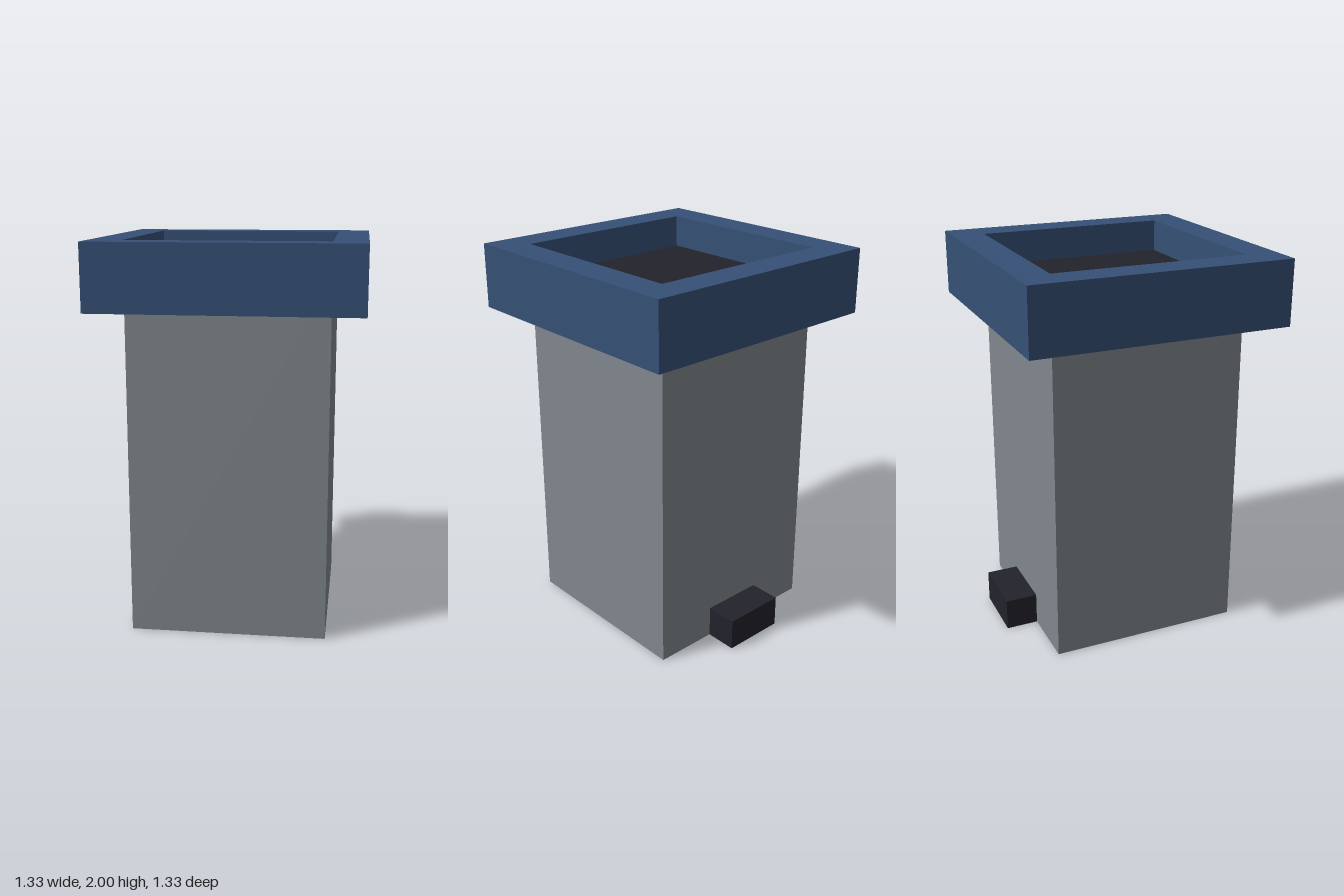
import * as THREE from 'three';

const HALF = 0.5;        // half width of the column
const RIM_HALF = 0.667;  // half width of the collar
const RIM_BASE = 1.667;
const FLOOR_Y = 1.833;   // level of the dark floor inside the collar

function material(name, color) {
  const m = new THREE.MeshStandardMaterial({ color });
  m.name = name;
  return m;
}

function squarePath(path, h) {
  path.moveTo(-h, -h);
  path.lineTo(h, -h);
  path.lineTo(h, h);
  path.lineTo(-h, h);
  path.closePath();
  return path;
}

export function createModel() {
  const grey = material('grey', 0x80878d);
  const blue = material('blue', 0x365075);
  const dark = material('dark', 0x22222b);

  const model = new THREE.Group();
  model.name = 'squareBin';

  function add(name, geometry, mat, x, y, z) {
    const mesh = new THREE.Mesh(geometry, mat);
    mesh.name = name;
    mesh.position.set(x, y, z);
    model.add(mesh);
    return mesh;
  }

  // Square column; its top face is the dark floor seen inside the collar
  add('column', new THREE.BoxGeometry(2 * HALF, FLOOR_Y, 2 * HALF),
    [grey, grey, dark, grey, grey, grey], 0, FLOOR_Y / 2, 0);

  // Wide collar with a square opening
  const outline = squarePath(new THREE.Shape(), RIM_HALF);
  outline.holes.push(squarePath(new THREE.Path(), HALF));
  const collar = new THREE.ExtrudeGeometry(outline, { depth: 2 - RIM_BASE, bevelEnabled: false });
  collar.rotateX(-Math.PI / 2);
  add('collar', collar, blue, 0, RIM_BASE, 0);

  // Small block at the foot of the back
  add('backBlock', new THREE.BoxGeometry(0.333, 0.167, 0.167), dark, 0, 0.0835, -HALF - 0.0835);

  return model;
}
